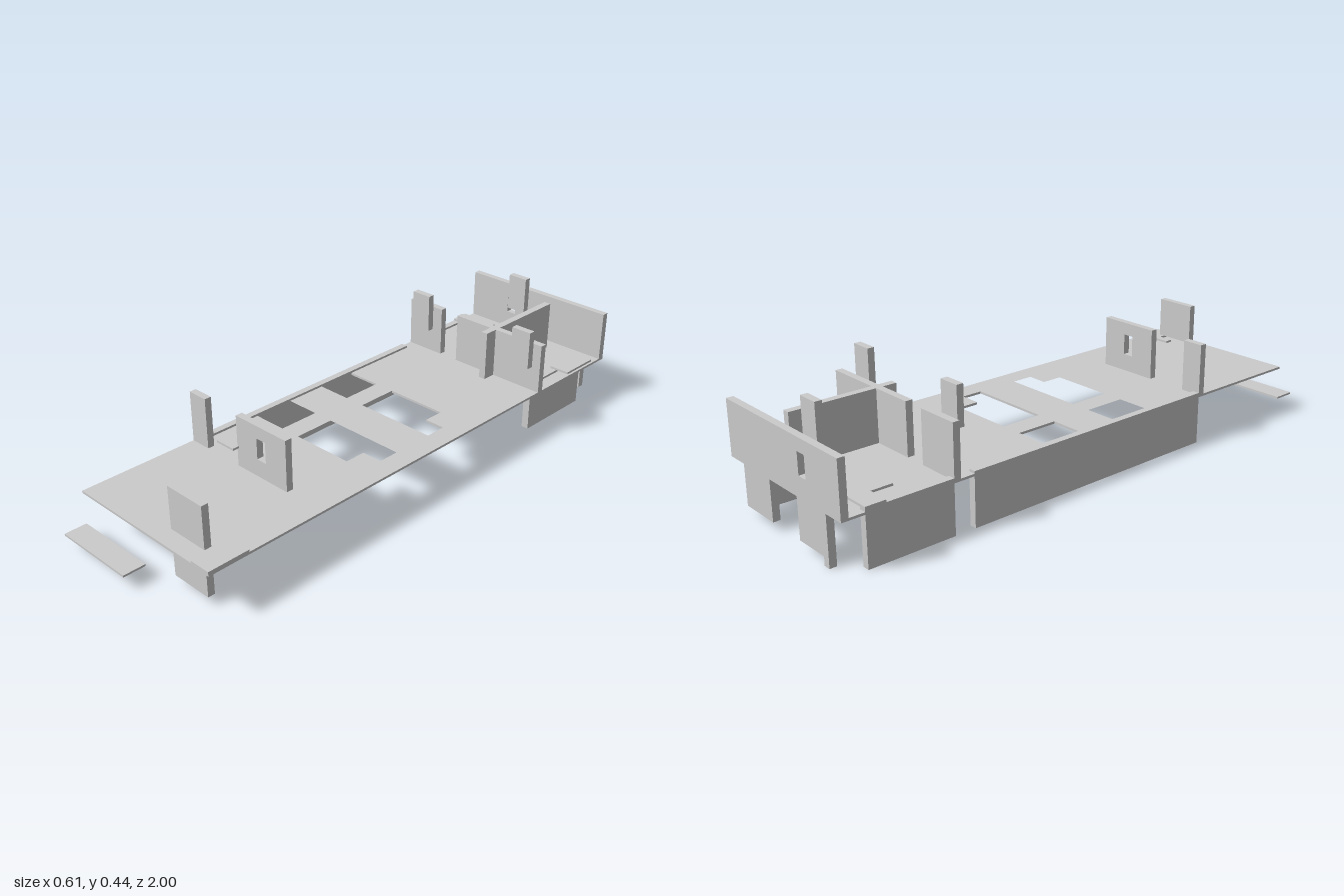
import * as THREE from 'three';

const material = new THREE.MeshStandardMaterial({ color: 0xcccccc, flatShading: true });
const T = 0.025; // wall thickness
const FLOOR = 0.178, TOP = 0.36; // floor level and wall height

export function createModel() {
  const group = new THREE.Group();

  const add = (name, geometry) => {
    const mesh = new THREE.Mesh(geometry, material);
    mesh.name = name;
    group.add(mesh);
    return mesh;
  };

  // Box given by its limits on each axis
  const box = (name, [x0, x1], [y0, y1], [z0, z1]) =>
    add(name, new THREE.BoxGeometry(x1 - x0, y1 - y0, z1 - z0)
      .translate((x0 + x1) / 2, (y0 + y1) / 2, (z0 + z1) / 2));

  const points = (list) => list.map(([a, b]) => new THREE.Vector2(a, b));
  const rect = (x0, x1, y0, y1) => [[x0, y0], [x1, y0], [x1, y1], [x0, y1]];
  const extrude = (outline, holes, depth) => {
    const shape = new THREE.Shape(points(outline));
    shape.holes = holes.map((h) => new THREE.Path(points(h)));
    return new THREE.ExtrudeGeometry(shape, { depth, bevelEnabled: false });
  };

  // Horizontal plate with an outline in x and z
  const plate = (name, outline, holes, y0, y1) => {
    const flip = (l) => l.map(([x, z]) => [x, -z]);
    return add(name, extrude(flip(outline), holes.map(flip), y1 - y0)
      .rotateX(-Math.PI / 2).translate(0, y0, 0));
  };

  // Upright panel with an outline in x and y
  const panel = (name, outline, holes, z0) =>
    add(name, extrude(outline, holes, T).translate(0, 0, z0));

  // Floor with four openings, mirrored front to back
  const openings = [];
  for (const s of [-1, 1]) {
    const near = s < 0 ? -0.082 : 0.073;
    const mid = near + s * 0.077, far = near + s * 0.153;
    openings.push(rect(-0.282, -0.154, near, far));
    openings.push([[-0.077, near], [0.23, near], [0.23, mid], [0.154, mid], [0.154, far], [-0.077, far]]);
  }
  plate('floor', rect(-0.307, 0.307, -0.975, 0.92), openings, 0.17, FLOOR);

  // Back wall with legs and a window
  panel('backWall', [
    [-0.307, 0.17], [-0.23, 0.17], [-0.23, 0], [-0.205, 0], [-0.205, 0.03], [-0.077, 0.03],
    [-0.077, 0.17], [0.077, 0.17], [0.077, 0.03], [0.23, 0.03], [0.23, 0.17], [0.307, 0.17],
    [0.307, TOP], [-0.307, TOP],
  ], [rect(-0.135, -0.097, 0.24, 0.315)], -1);

  // Front partition with a window, and its side piece
  panel('frontPartition', rect(-0.077, 0.152, FLOOR, TOP), [rect(0.018, 0.058, 0.24, 0.315)], 0.46);
  box('frontSidePanel', [-0.307, -0.23], [FLOOR, TOP], [0.46, 0.485]);

  // Rear partitions
  box('crossWallRight', [-0.307, -0.154], [FLOOR, TOP], [-0.615, -0.59]);
  box('crossWallLeft', [-0.077, 0.307], [FLOOR, TOP], [-0.615, -0.59]);
  box('lengthwiseWall', [0.077, 0.103], [FLOOR, TOP], [-0.922, -0.54]);

  // Lower side walls
  box('longSideWall', [-0.307, -0.282], [0, 0.186], [-0.54, 0.46]);
  box('rearSideWallRight', [-0.307, -0.282], [0, 0.186], [-0.922, -0.615]);
  box('rearSideWallLeft', [0.23, 0.257], [0, 0.186], [-0.922, -0.615]);

  // Raised upper panels
  for (const [x, z] of [[-0.231, -0.54], [0.23, -0.54], [-0.077, -0.922]])
    box('upperPanel', [x, x + 0.077], [0.298, 0.435], [z, z + T]);

  // Panels above and below the floor at the front
  box('frontUpperPanel', [0.077, 0.23], [0.196, 0.343], [0.845, 0.87]);
  box('frontLowerPanel', [0.077, 0.23], [0.03, 0.17], [0.845, 0.87]);

  // Thin slabs
  box('frontStep', [-0.307, 0], [0.05, 0.057], [0.92, 1]);
  box('shelf', [-0.077, 0], [0.297, 0.304], [0.54, 0.565]);
  box('frontCornerSlab', [0.23, 0.307], [FLOOR, 0.186], [0.77, 0.92]);
  box('rearCornerSlab', [0.23, 0.307], [0.186, 0.194], [-0.922, -0.77]);
  plate('rearAngleSlab', [
    [-0.307, -0.922], [-0.154, -0.922], [-0.154, -0.775],
    [-0.23, -0.775], [-0.23, -0.852], [-0.307, -0.852],
  ], [], 0.186, 0.194);

  return group;
}
